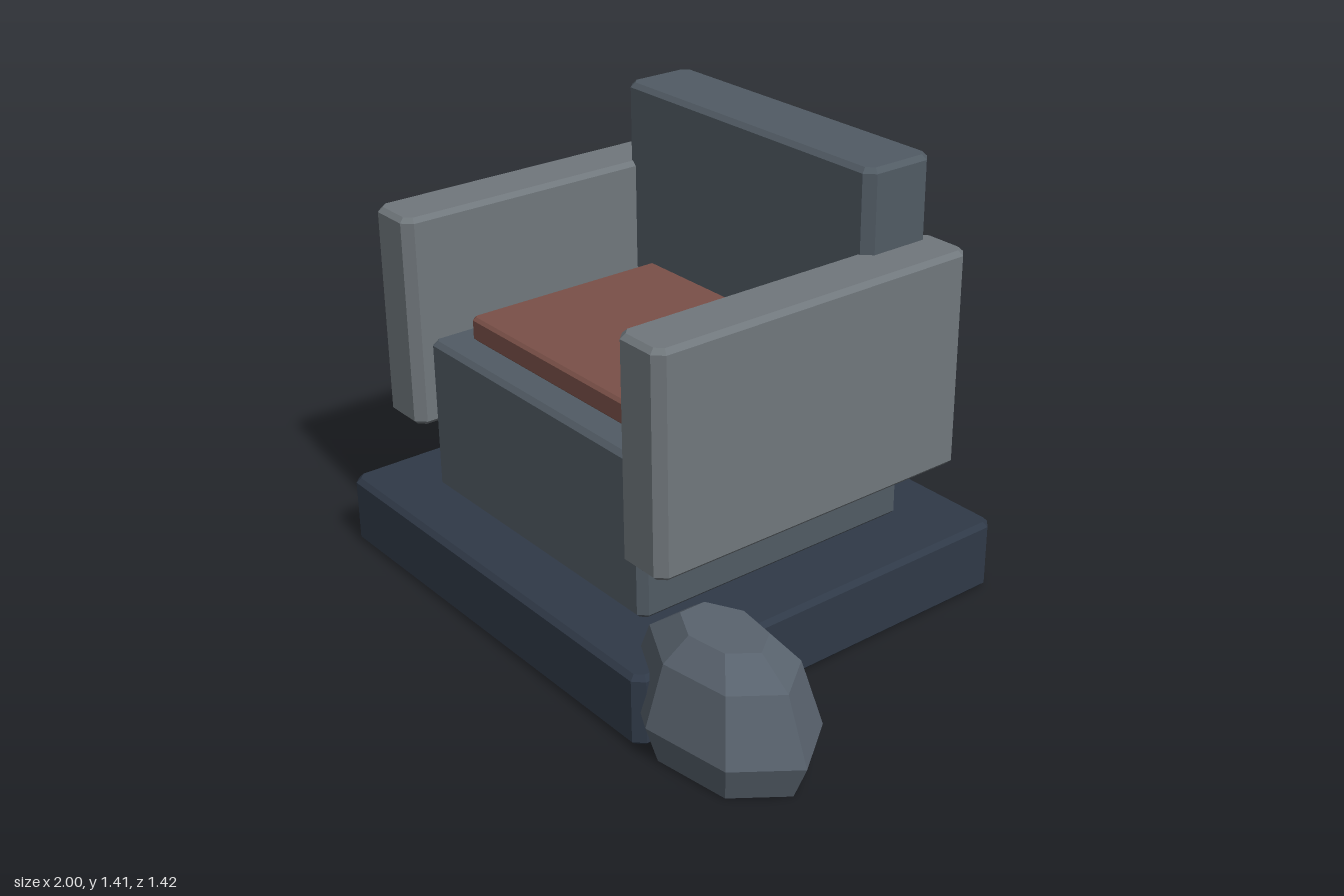
import * as THREE from 'three';

const material = (color) => new THREE.MeshStandardMaterial({ color, flatShading: true });

// Block with chamfered upright corners and a thin bevel around top and bottom.
// Each range is [min, max] along its axis.
function block(name, [x0, x1], [y0, y1], [z0, z1], corner, bevel, mat) {
  const w = (x1 - x0) / 2, d = (z1 - z0) / 2, c = corner;
  const outline = new THREE.Shape([
    [w, -d + c], [w, d - c], [w - c, d], [-w + c, d],
    [-w, d - c], [-w, -d + c], [-w + c, -d], [w - c, -d],
  ].map(([x, z]) => new THREE.Vector2(x, z)));
  const geometry = new THREE.ExtrudeGeometry(outline, {
    depth: y1 - y0 - 2 * bevel,
    bevelThickness: bevel, bevelSize: bevel, bevelOffset: -bevel, bevelSegments: 1,
  });
  geometry.rotateX(-Math.PI / 2);
  geometry.translate((x0 + x1) / 2, y0 + bevel, (z0 + z1) / 2);
  const mesh = new THREE.Mesh(geometry, mat);
  mesh.name = name;
  return mesh;
}

// Seven-sided faceted boulder, flat on top and underneath.
function boulder(mat) {
  const profile = [[0, 0], [0.85, 0], [1, 0.115], [0.77, 0.31], [0.45, 0.385], [0, 0.385]]
    .map(([r, y]) => new THREE.Vector2(r, y));
  const geometry = new THREE.LatheGeometry(profile, 7, Math.PI / 2);
  geometry.scale(0.34, 1, 0.22);
  const mesh = new THREE.Mesh(geometry, mat);
  mesh.name = 'boulder';
  mesh.position.set(0.66, 0, 0.492);
  return mesh;
}

export function createModel() {
  const group = new THREE.Group();
  group.name = 'stoneSeat';
  const plinthMat = material(0x2f3947);
  const stoneMat = material(0x515b64);
  const armMat = material(0x70777c);
  const cushionMat = material(0x7a5048);

  // Plinth, seat, cushion and backrest
  group.add(
    block('plinth', [-1, 0.53], [0, 0.23], [-0.71, 0.69], 0.03, 0.015, plinthMat),
    block('seat', [-0.775, 0.305], [0.23, 0.74], [-0.515, 0.5], 0.025, 0.015, stoneMat),
    block('cushion', [-0.685, 0.21], [0.74, 0.82], [-0.39, 0.4], 0.015, 0.01, cushionMat),
    block('backrest', [-0.805, 0.335], [0.77, 1.41], [-0.56, -0.305], 0.03, 0.015, stoneMat),
  );

  // Armrests, mirrored about the middle of the seat
  const middle = -0.235;
  for (const [name, side] of [['leftArmrest', 1], ['rightArmrest', -1]]) {
    const x = middle + side * 0.615;
    group.add(block(name, [x - 0.095, x + 0.095], [0.455, 1.15], [-0.585, 0.565], 0.03, 0.015, armMat));
  }

  // Boulder beside the plinth
  group.add(boulder(material(0x59636e)));
  return group;
}
